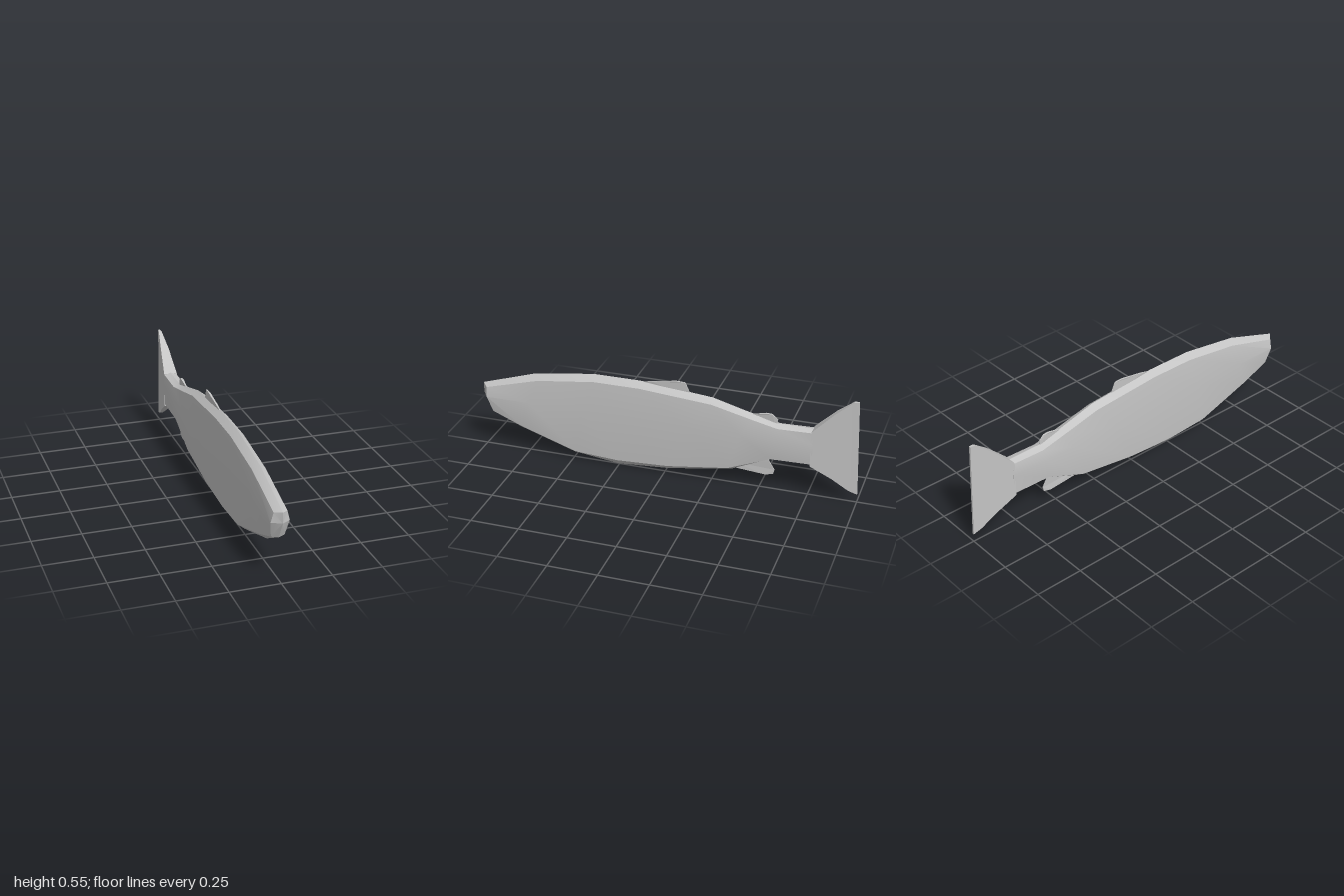
import * as THREE from 'three';
import { toCreasedNormals } from 'three/addons/utils/BufferGeometryUtils.js';

const silver = new THREE.MeshStandardMaterial({ color: 0xc4c4c4 });
silver.name = 'silver grey';

// Skin a run of rings (clockwise seen from the front, ordered front to back) and cap both ends.
function loft(rings, frontCentre) {
  const pos = [];
  const tri = (...p) => p.forEach((v) => pos.push(...v));
  const centre = (r) => [0, 1, 2].map((k) => r.reduce((s, p) => s + p[k], 0) / r.length);
  const n = rings[0].length;
  const last = rings[rings.length - 1];
  const front = frontCentre || centre(rings[0]);
  const back = centre(last);
  for (let j = 0; j < n; j++) {
    const k = (j + 1) % n;
    for (let i = 0; i < rings.length - 1; i++) {
      const a = rings[i], b = rings[i + 1];
      tri(a[j], a[k], b[k]);
      tri(a[j], b[k], b[j]);
    }
    tri(front, rings[0][k], rings[0][j]);
    tri(back, last[j], last[k]);
  }
  const geo = new THREE.BufferGeometry();
  geo.setAttribute('position', new THREE.Float32BufferAttribute(pos, 3));
  return toCreasedNormals(geo, 0.4);
}

// Body rails as [z, y], front to back
const ridge = [[1, 0.36], [0.7, 0.455], [0.38, 0.5], [0.13, 0.5], [-0.25, 0.465], [-0.47, 0.405], [-0.58, 0.375], [-0.77, 0.375]];
const shoulder = [[0.97, 0.35], [0.68, 0.43], [0.37, 0.47], [0.13, 0.47], [-0.25, 0.44], [-0.47, 0.387], [-0.59, 0.36], [-0.77, 0.365]];
const belly = [[0.94, 0.215], [0.78, 0.15], [0.48, 0.05], [0.25, 0.037], [-0.02, 0.05], [-0.34, 0.095], [-0.56, 0.185], [-0.77, 0.19]];
const keel = [[0.957, 0.215], [0.8, 0.13], [0.5, 0.03], [0.26, 0], [-0.02, 0.02], [-0.35, 0.075], [-0.57, 0.175], [-0.77, 0.18]];

function bodyRing(i) {
  const [sz, sy] = shoulder[i], [bz, by] = belly[i];
  const mz = i === 0 ? 0.967 : (sz + bz) / 2;
  const wide = i === 7 ? 0.037 : 0.046;
  const side = [[0.033, sy, sz], [wide, 0.3, mz], [0.033, by, bz]];
  const mirrored = side.map(([x, y, z]) => [-x, y, z]).reverse();
  return [[0, ridge[i][1], ridge[i][0]], ...side, [0, keel[i][1], keel[i][0]], ...mirrored];
}

// Tail stations: half width, top [y, z], bottom [y, z]
const tailStations = [
  [0.036, 0.37, -0.76, 0.18, -0.76],
  [0.022, 0.48, -0.87, 0.12, -0.87],
  [0.008, 0.55, -0.955, 0.06, -0.955],
  [0.005, 0.553, -0.98, 0.045, -1],
];

// Thin fin drawn in the side plane as [z, y], narrowing towards both ends
function fin(points) {
  const shape = new THREE.Shape(points.map(([z, y]) => new THREE.Vector2(-z, y)));
  const geo = new THREE.ExtrudeGeometry(shape, { depth: 0.012, bevelEnabled: false });
  geo.translate(0, 0, -0.006).rotateY(Math.PI / 2);
  const zs = points.map((p) => p[0]);
  const lo = Math.min(...zs), hi = Math.max(...zs);
  const p = geo.attributes.position;
  for (let i = 0; i < p.count; i++) {
    const t = (p.getZ(i) - lo) / (hi - lo);
    p.setX(i, p.getX(i) * (0.3 + 0.7 * Math.sin(Math.PI * t)));
  }
  geo.computeVertexNormals();
  return geo;
}

export function createModel() {
  const group = new THREE.Group();
  group.name = 'fish';
  const add = (name, geo) => {
    const mesh = new THREE.Mesh(geo, silver);
    mesh.name = name;
    group.add(mesh);
  };

  add('body', loft(ridge.map((_, i) => bodyRing(i)), [0, 0.305, 1]));
  add('tailFin', loft(tailStations.map(([w, ty, tz, by, bz]) => [
    [-w, ty, tz], [w, ty, tz], [w, by, bz], [-w, by, bz],
  ])));
  add('dorsalFin', fin([[0.12, 0.47], [0.11, 0.497], [0.07, 0.506], [-0.06, 0.526], [-0.105, 0.525], [-0.13, 0.47], [-0.13, 0.44]]));
  add('adiposeFin', fin([[-0.45, 0.38], [-0.46, 0.407], [-0.525, 0.421], [-0.555, 0.42], [-0.585, 0.395], [-0.575, 0.35]]));
  add('analFin', fin([[-0.36, 0.12], [-0.37, 0.088], [-0.53, 0.076], [-0.57, 0.085], [-0.576, 0.11], [-0.55, 0.15], [-0.53, 0.19]]));
  return group;
}
